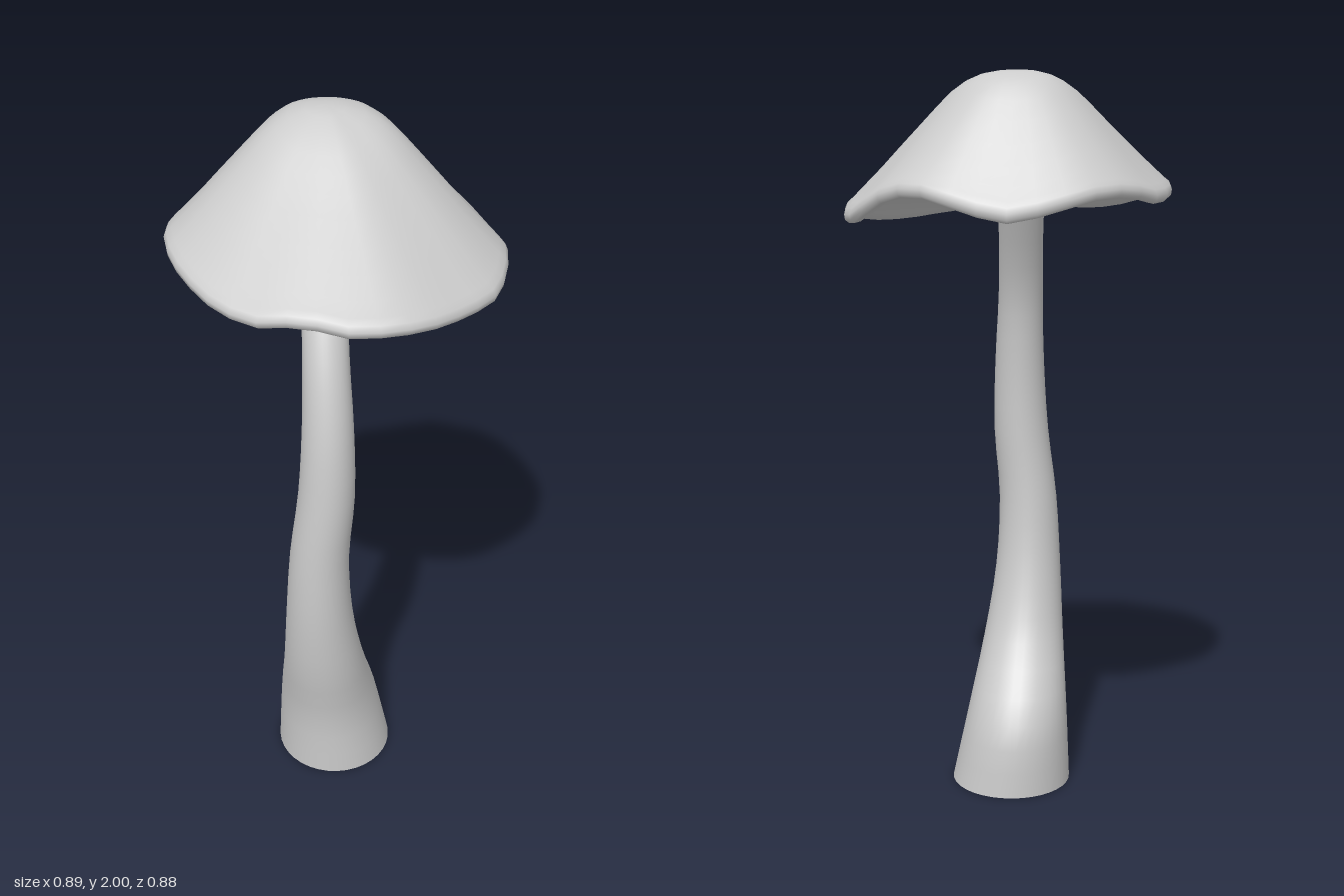
import * as THREE from 'three';

const SIDES = 36;

// Skin a list of closed rings; normals are shared so the surface is smooth.
function loft(rings, name) {
  const positions = rings.flat().flatMap((p) => [p.x, p.y, p.z]);
  const index = [];
  for (let i = 0; i < rings.length - 1; i++) {
    for (let j = 0; j < SIDES; j++) {
      const k = (j + 1) % SIDES;
      const a = i * SIDES + j, b = i * SIDES + k;
      const c = a + SIDES, d = b + SIDES;
      index.push(a, c, b, b, c, d);
    }
  }
  const geometry = new THREE.BufferGeometry();
  geometry.setAttribute('position', new THREE.Float32BufferAttribute(positions, 3));
  geometry.setIndex(index);
  geometry.computeVertexNormals();
  const material = new THREE.MeshStandardMaterial({ color: 0xcccccc, side: THREE.DoubleSide });
  const mesh = new THREE.Mesh(geometry, material);
  mesh.name = name;
  return mesh;
}

// Bent, tapering stem, open at the foot and flaring into the cap.
function makeStem() {
  // height, x min, x max, z min, z max
  const sections = [
    [0.00, -0.18, 0.156, -0.169, 0.19],
    [0.20, -0.172, 0.112, -0.149, 0.195],
    [0.40, -0.163, 0.066, -0.018, 0.23],
    [0.60, -0.155, 0.032, 0.045, 0.248],
    [0.80, -0.143, 0.022, 0.07, 0.25],
    [1.00, -0.118, 0.037, 0.077, 0.246],
    [1.20, -0.105, 0.034, 0.072, 0.225],
    [1.40, -0.10, 0.024, 0.045, 0.17],
    [1.60, -0.10, 0.024, -0.037, 0.08],
    [1.66, -0.105, 0.03, -0.07, 0.06],
    [1.70, -0.13, 0.05, -0.12, 0.055],
    [1.717, -0.18, 0.10, -0.18, 0.09],
  ];
  const centres = new THREE.CatmullRomCurve3(sections.map(([y, x0, x1, z0, z1]) =>
    new THREE.Vector3((x0 + x1) / 2, y, (z0 + z1) / 2)));
  const radii = new THREE.CatmullRomCurve3(sections.map(([y, x0, x1, z0, z1]) =>
    new THREE.Vector3((x1 - x0) / 2, y, (z1 - z0) / 2)));
  const steps = (sections.length - 1) * 3;
  const rings = [];
  for (let i = 0; i <= steps; i++) {
    const c = centres.getPoint(i / steps), r = radii.getPoint(i / steps);
    rings.push(Array.from({ length: SIDES }, (_, j) => {
      const a = (j / SIDES) * Math.PI * 2;
      return new THREE.Vector3(c.x + r.x * Math.cos(a), c.y, c.z + r.z * Math.sin(a));
    }));
  }
  return loft(rings, 'stem');
}

// Off-centre bell cap with a wavy rounded lip and a hollow underside.
function makeCap() {
  // radius and height of the lip every 15 degrees, from +x towards +z
  const lip = [
    [0.441, 1.616], [0.438, 1.604], [0.439, 1.594], [0.426, 1.595], [0.435, 1.605], [0.445, 1.616],
    [0.437, 1.618], [0.428, 1.638], [0.436, 1.622], [0.438, 1.63], [0.436, 1.65], [0.44, 1.668],
    [0.445, 1.676], [0.448, 1.663], [0.449, 1.657], [0.449, 1.675], [0.449, 1.67], [0.441, 1.64],
    [0.44, 1.616], [0.437, 1.642], [0.434, 1.675], [0.431, 1.672], [0.436, 1.63], [0.444, 1.597],
  ];
  const rim = new THREE.CatmullRomCurve3(lip.map(([r, y], i) => {
    const a = (i / lip.length) * Math.PI * 2;
    return new THREE.Vector3(r * Math.cos(a), y, r * Math.sin(a));
  }), true);
  // f: spread towards the lip; h: share of the centre height, at the back and at the front
  const ring = (centre, lift, [f, back, front = back]) => Array.from({ length: SIDES }, (_, j) => {
    const p = rim.getPoint(j / SIDES);
    const facing = (0.5 + 0.5 * Math.cos((j / SIDES - 0.28) * Math.PI * 2)) ** 2;
    return new THREE.Vector3(
      THREE.MathUtils.lerp(centre.x, p.x, f),
      THREE.MathUtils.lerp(p.y + lift, centre.y, THREE.MathUtils.lerp(back, front, facing)),
      THREE.MathUtils.lerp(centre.z, p.z, f));
  });
  const apex = new THREE.Vector3(-0.03, 2, -0.11);
  const hollow = new THREE.Vector3(-0.04, 1.72, -0.05);
  const under = [
    [0.1, 1], [0.3, 0.94], [0.5, 0.82], [0.65, 0.67], [0.77, 0.48], [0.85, 0.3], [0.9, 0.14], [0.935, 0.04],
  ];
  const top = [
    [0.985, 0.045, 0.04], [0.95, 0.085, 0.07], [0.88, 0.18, 0.145], [0.78, 0.315, 0.25],
    [0.68, 0.46, 0.36], [0.56, 0.63, 0.49], [0.46, 0.77, 0.605], [0.38, 0.87, 0.7],
    [0.3, 0.938, 0.795], [0.22, 0.976, 0.885], [0.12, 0.996, 0.972], [0.06, 1, 0.995], [0, 1],
  ];
  return loft([
    ...under.map((row) => ring(hollow, 0, row)),
    ring(apex, 0, [0.972, 0]),
    ring(apex, 0.008, [0.995, 0]),
    ring(apex, 0.022, [1, 0]),
    ...top.map((row) => ring(apex, 0.022, row)),
  ], 'cap');
}

export function createModel() {
  const group = new THREE.Group();
  group.name = 'mushroom';
  group.add(makeStem(), makeCap());
  return group;
}
